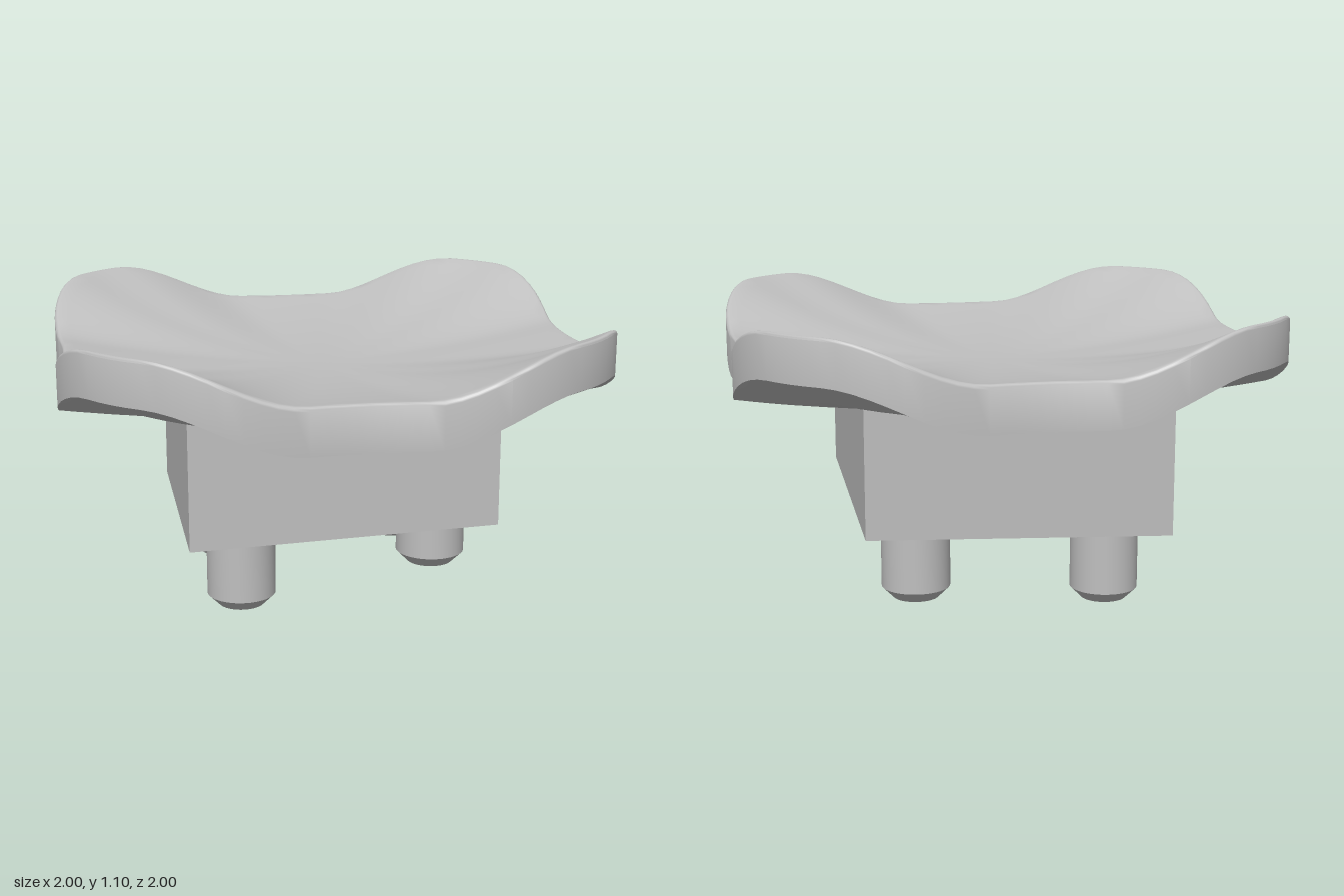
import * as THREE from 'three';
import { toCreasedNormals } from 'three/addons/utils/BufferGeometryUtils.js';

const grey = new THREE.MeshStandardMaterial({ color: 0xbfbfbf });
grey.name = 'plain grey';

// Rounded-square outline with slightly waisted sides, as a radius per angle
function rimRadius(angle) {
  const c = Math.abs(Math.cos(angle)), s = Math.abs(Math.sin(angle));
  const big = Math.max(c, s), t = Math.min(c, s) / big;
  if (t < 0.4) return (1 - 0.0125 * (1 + Math.cos(Math.PI * t / 0.4))) / big;
  const d = 0.4 * (c + s);
  return d + Math.sqrt(0.36 - 0.32 + d * d);
}

// Height of the dish underside: a shallow bowl with four raised corners
function underside(angle, s) {
  const r = rimRadius(angle);
  const t = r * Math.min(Math.abs(Math.cos(angle)), Math.abs(Math.sin(angle)));
  const corner = THREE.MathUtils.smoothstep(t, 0.2, 0.74);
  return 0.69 + 0.09 * s * s + 0.16 * corner * Math.pow(s, 2.45);
}

// Dish: one closed skin swept round a profile of [radius fraction, rise above underside]
function dishGeometry() {
  const thick = 0.17, fillet = 0.018, segments = 128, rings = 28;
  const profile = [];
  for (let i = 0; i <= rings; i++) profile.push([(1 - fillet) * i / rings, thick]);
  for (let i = 1; i <= 4; i++) {
    const a = i * Math.PI / 8;
    profile.push([1 - fillet + fillet * Math.sin(a), thick - fillet * (1 - Math.cos(a))]);
  }
  for (let i = rings; i >= 0; i--) profile.push([i / rings, 0]);

  const positions = [], index = [];
  for (const [s, rise] of profile) {
    for (let j = 0; j < segments; j++) {
      const angle = j / segments * Math.PI * 2, r = rimRadius(angle) * s;
      positions.push(r * Math.cos(angle), underside(angle, s) + rise, r * Math.sin(angle));
    }
  }
  for (let i = 0; i < profile.length - 1; i++) {
    for (let j = 0; j < segments; j++) {
      const k = (j + 1) % segments;
      const a = i * segments + j, b = a + segments;
      const c = i * segments + k, d = c + segments;
      if (i > 0) index.push(a, c, b);
      if (i < profile.length - 2) index.push(c, d, b);
    }
  }
  // centre triangles of the top fan use the outer ring edge
  const geometry = new THREE.BufferGeometry();
  geometry.setAttribute('position', new THREE.Float32BufferAttribute(positions, 3));
  geometry.setIndex(index);
  return toCreasedNormals(geometry, 0.7);
}

// Block: a box whose lower face slopes down towards the back right corner
function blockGeometry() {
  const geometry = new THREE.BoxGeometry(1.125, 1, 1.125);
  const p = geometry.attributes.position;
  for (let i = 0; i < p.count; i++) {
    const x = p.getX(i), z = p.getZ(i);
    p.setY(i, p.getY(i) > 0 ? 0.805 : 0.323 + 0.037 * (x + z));
  }
  geometry.computeVertexNormals();
  return geometry;
}

// Peg: a round post with a chamfered lower end
function pegGeometry(bottom) {
  const profile = [[0, bottom], [0.085, bottom], [0.127, bottom + 0.042], [0.127, 0.4], [0, 0.4]]
    .map(([r, y]) => new THREE.Vector2(r, y));
  return toCreasedNormals(new THREE.LatheGeometry(profile, 40), 0.5);
}

export function createModel() {
  const model = new THREE.Group();
  model.name = 'dishOnPegs';
  const add = (name, geometry, x = 0, z = 0) => {
    const mesh = new THREE.Mesh(geometry, grey);
    mesh.name = name;
    mesh.position.set(x, 0, z);
    model.add(mesh);
  };

  add('dish', dishGeometry());
  add('block', blockGeometry());

  // Four pegs of differing length
  add('frontLeftPeg', pegGeometry(0.172), 0.357, 0.357);
  add('frontRightPeg', pegGeometry(0.045), -0.357, 0.357);
  add('backLeftPeg', pegGeometry(0.045), 0.357, -0.357);
  add('backRightPeg', pegGeometry(0), -0.357, -0.357);
  return model;
}
